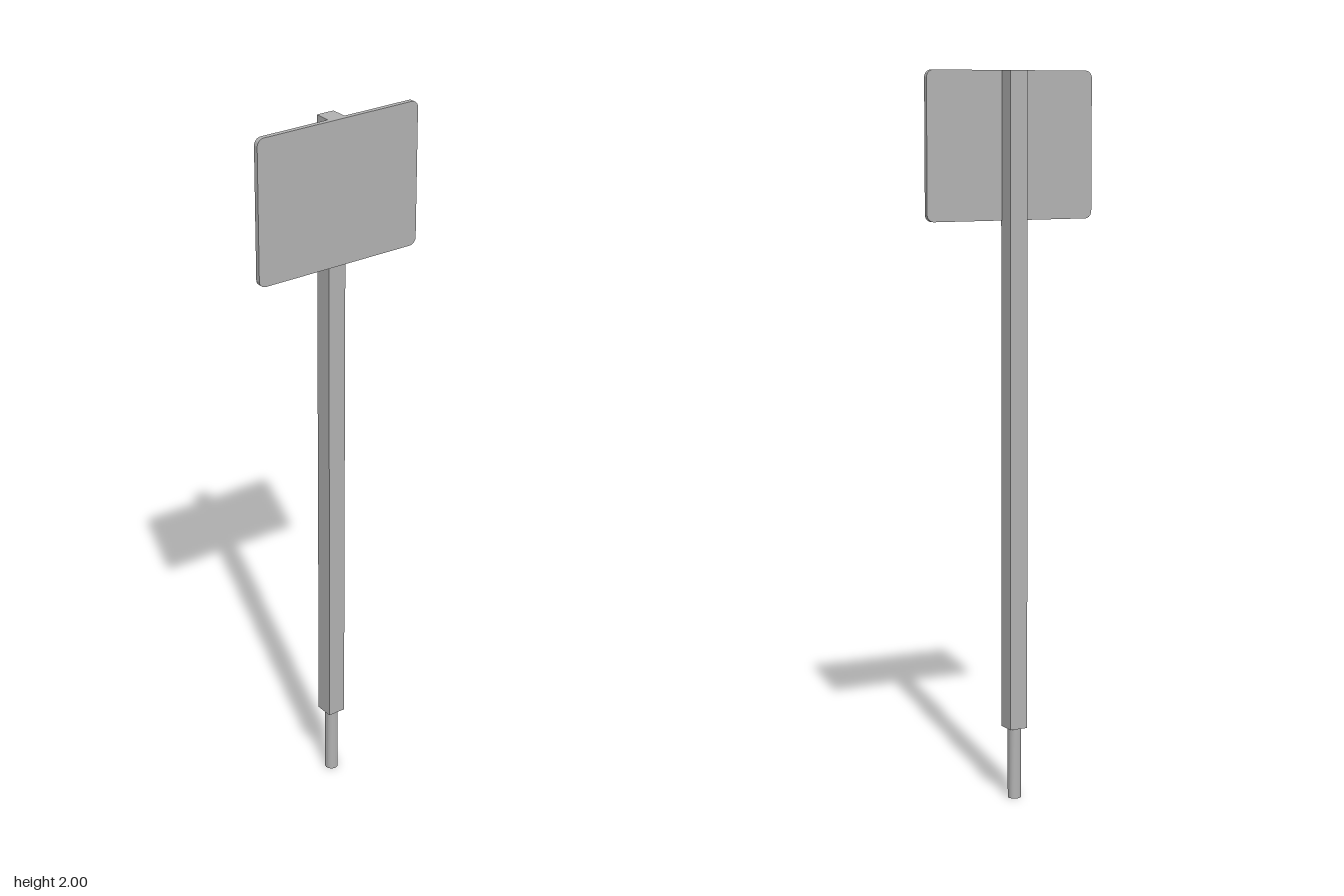
import * as THREE from 'three';
import { toCreasedNormals } from 'three/addons/utils/BufferGeometryUtils.js';

export function createModel() {
  const model = new THREE.Group();
  const grey = new THREE.MeshStandardMaterial({ color: 0xb2b2b2 });
  grey.name = 'grey';

  function add(name, geometry, x, y, z) {
    const mesh = new THREE.Mesh(geometry, grey);
    mesh.name = name;
    mesh.position.set(x, y, z);
    model.add(mesh);
  }

  // Square post, flush with the top of the panel
  const postZ = -0.005;
  add('post', new THREE.BoxGeometry(0.052, 1.8, 0.053), 0, 1.1, postZ);

  // Round ground peg under the post
  const peg = new THREE.CylinderGeometry(0.0185, 0.0185, 0.2, 16);
  add('groundPeg', toCreasedNormals(peg, 0.6), 0, 0.1, postZ);

  // Thin sign panel with rounded corners
  const w = 0.25, h = 0.2, r = 0.02;
  const outline = new THREE.Shape();
  outline.absarc(w - r, h - r, r, 0, Math.PI / 2);
  outline.absarc(-w + r, h - r, r, Math.PI / 2, Math.PI);
  outline.absarc(-w + r, -h + r, r, Math.PI, Math.PI * 1.5);
  outline.absarc(w - r, -h + r, r, Math.PI * 1.5, Math.PI * 2);
  outline.closePath();
  const panel = new THREE.ExtrudeGeometry(outline, { depth: 0.014, bevelEnabled: false, curveSegments: 6 });
  add('signPanel', toCreasedNormals(panel, 0.6), 0, 1.8, 0.016);

  return model;
}
